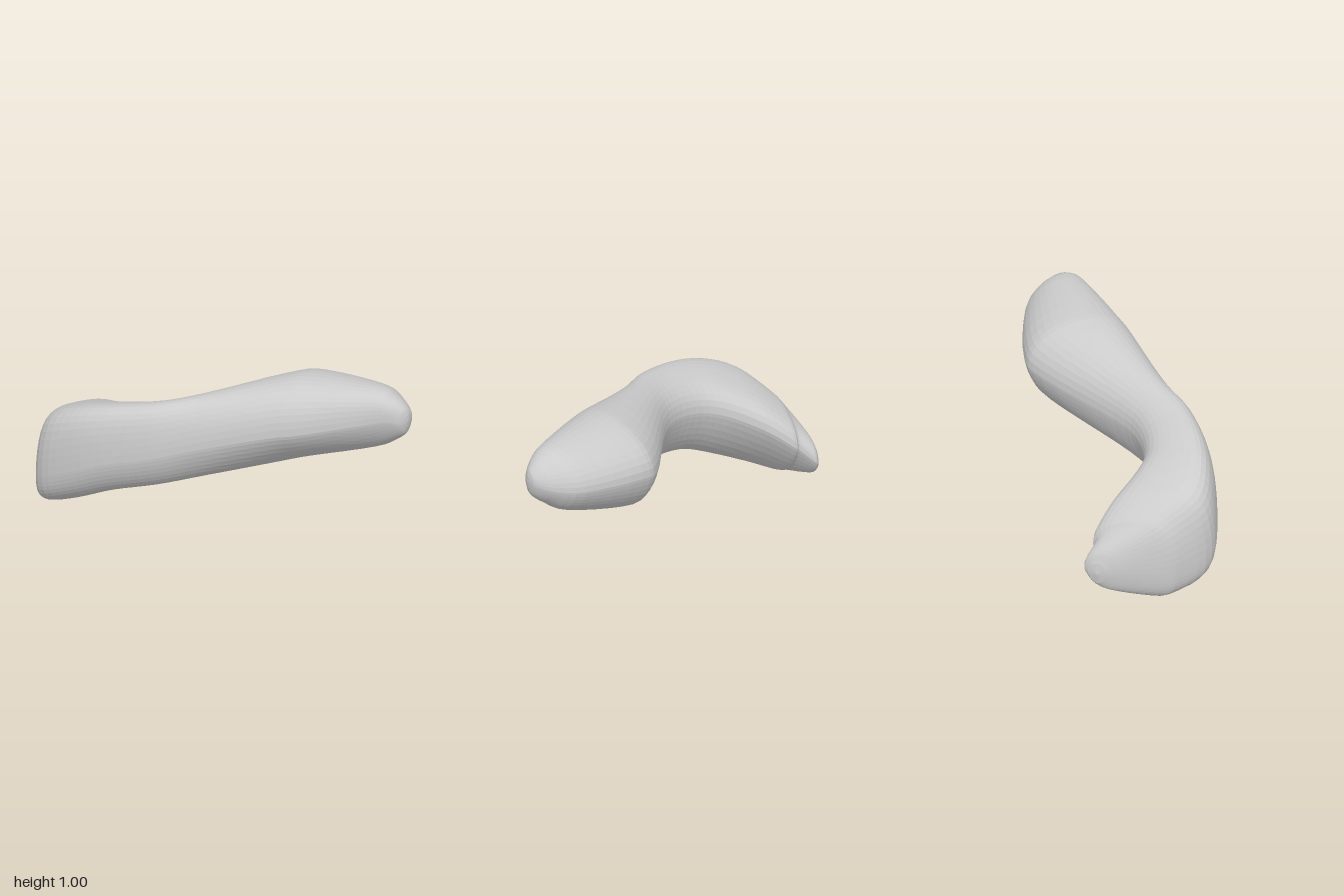
import * as THREE from 'three';

// Cross-sections along the body:
// inner edge x, z | outer edge x, z | bottom y, top y | tilt (outer edge lower) | ridge shift, keel shift (toward outer edge)
const SECTIONS = [
  [-0.99, 0.16, -0.99, 0.27, 0.12, 0.25, 0, 0, 0.1],
  [-0.965, 0.13, -0.95, 0.38, 0.07, 0.33, 0.01, 0.1, 0.3],
  [-0.88, 0.165, -0.85, 0.59, 0.015, 0.45, 0.05, 0.2, 0.45],
  [-0.845, 0.145, -0.78, 0.67, 0, 0.51, 0.06, 0.25, 0.5],
  [-0.7, 0.185, -0.62, 0.79, 0.035, 0.62, 0.09, 0.35, 0.45],
  [-0.5, 0.26, -0.42, 0.755, 0.12, 0.71, 0.09, 0.35, 0.35],
  [-0.33, 0.275, -0.2, 0.65, 0.22, 0.77, 0.06, 0.3, 0.2],
  [-0.15, 0.18, 0.03, 0.475, 0.29, 0.82, 0.04, 0.25, 0.1],
  [-0.02, -0.01, 0.2, 0.28, 0.34, 0.865, 0.02, 0.15, 0],
  [0.17, -0.52, 0.5, -0.02, 0.42, 0.97, 0, 0.2, -0.1],
  [0.3, -0.67, 0.63, -0.15, 0.465, 0.995, 0, 0.2, -0.15],
  [0.68, -0.795, 0.88, -0.46, 0.59, 0.99, -0.02, 0.3, -0.05],
  [0.86, -0.775, 0.95, -0.55, 0.67, 0.95, -0.02, 0.3, 0],
  [0.96, -0.73, 0.99, -0.61, 0.73, 0.9, 0, 0.2, 0],
  [0.99, -0.695, 1, -0.645, 0.78, 0.86, 0, 0, 0],
];
const SIDES = 40;
const STEPS = 4;

// Smooth curve through chosen columns of the section table
const columns = (a, b, c) => new THREE.CatmullRomCurve3(
  SECTIONS.map((s) => new THREE.Vector3(s[a], s[b], c === undefined ? 0 : s[c])), false, 'catmullrom', 0.5);

function loftBody() {
  const inner = columns(0, 1);
  const outer = columns(2, 3);
  const heights = columns(4, 5, 6);
  const shifts = columns(7, 8);
  const rings = (SECTIONS.length - 1) * STEPS + 1;
  const positions = [];
  const index = [];
  const centers = [];

  // Rings with a full rounded top and a narrower keel
  for (let i = 0; i < rings; i++) {
    const t = i / (rings - 1);
    const a = inner.getPoint(t);
    const b = outer.getPoint(t);
    const h = heights.getPoint(t);
    const shift = shifts.getPoint(t);
    const middle = (h.x + h.y) / 2;
    const half = (h.y - h.x) / 2;
    centers.push([(a.x + b.x) / 2, middle, (a.y + b.y) / 2]);
    for (let j = 0; j < SIDES; j++) {
      const angle = (j / SIDES) * Math.PI * 2;
      const c = Math.cos(angle);
      const s = Math.sin(angle);
      const across = THREE.MathUtils.clamp(c + (s > 0 ? shift.x : shift.y) * s * s, -1, 1);
      const rise = s > 0 ? Math.pow(s, 0.95) : -Math.pow(-s, 1.4);
      positions.push(
        (a.x + b.x) / 2 + ((b.x - a.x) / 2) * across,
        middle + half * rise - h.z * c * c * c,
        (a.y + b.y) / 2 + ((b.y - a.y) / 2) * across);
    }
  }

  // Skin between neighbouring rings
  for (let i = 0; i < rings - 1; i++) {
    for (let j = 0; j < SIDES; j++) {
      const k = (j + 1) % SIDES;
      const p = i * SIDES;
      const q = p + SIDES;
      index.push(p + j, q + j, p + k, q + j, q + k, p + k);
    }
  }

  // Slightly domed end caps
  const first = positions.length / 3;
  const [s, e] = [centers[0], centers[rings - 1]];
  positions.push(s[0] - 0.01, s[1], s[2], e[0] + 0.005, e[1], e[2]);
  const last = (rings - 1) * SIDES;
  for (let j = 0; j < SIDES; j++) {
    const k = (j + 1) % SIDES;
    index.push(first, j, k, first + 1, last + k, last + j);
  }

  const geometry = new THREE.BufferGeometry();
  geometry.setAttribute('position', new THREE.Float32BufferAttribute(positions, 3));
  geometry.setIndex(index);
  geometry.computeVertexNormals();
  return geometry;
}

export function createModel() {
  const group = new THREE.Group();
  group.name = 'curvedOrgan';
  const material = new THREE.MeshStandardMaterial({ color: 0xcccccc, flatShading: true });
  const body = new THREE.Mesh(loftBody(), material);
  body.name = 'curvedBody';
  group.add(body);
  return group;
}
